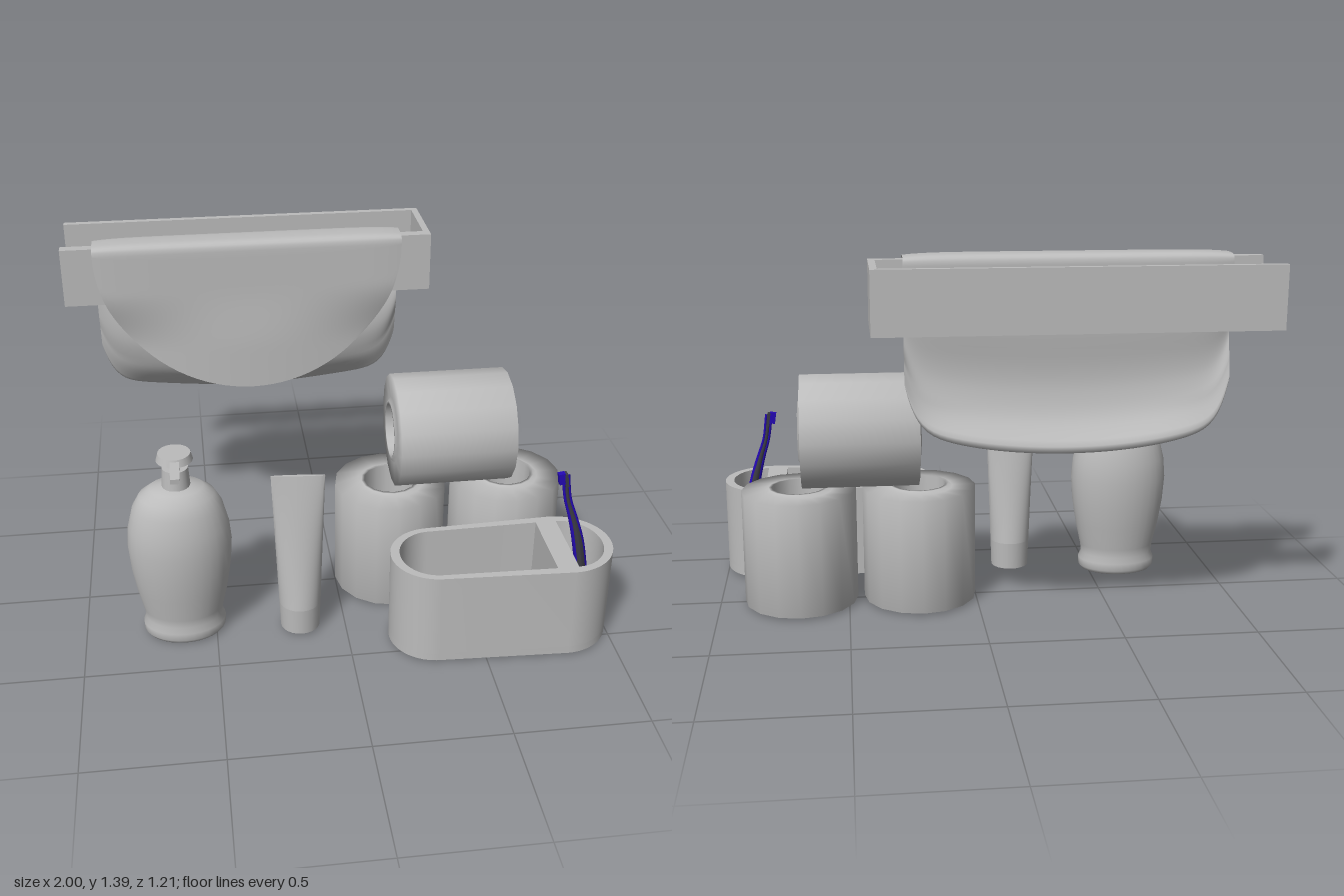
import * as THREE from 'three';
import { toCreasedNormals } from 'three/addons/utils/BufferGeometryUtils.js';

const grey = new THREE.MeshStandardMaterial({ color: 0xbcbcbc, side: THREE.DoubleSide });
grey.name = 'grey';
const blue = new THREE.MeshStandardMaterial({ color: 0x2408b4 });
blue.name = 'blue';
const charcoal = new THREE.MeshStandardMaterial({ color: 0x3c3c44 });
charcoal.name = 'charcoal';

function add(parent, name, geometry, x = 0, y = 0, z = 0, material = grey) {
  const mesh = new THREE.Mesh(geometry, material);
  mesh.name = name;
  mesh.position.set(x, y, z);
  parent.add(mesh);
  return mesh;
}

const lathe = (pts, n) => new THREE.LatheGeometry(pts.map(([r, y]) => new THREE.Vector2(r, y)), n);

// Move every vertex by a rule, then refresh the normals
function reshape(geometry, rule) {
  const p = geometry.attributes.position, uv = geometry.attributes.uv;
  for (let i = 0; i < p.count; i++) {
    p.setXYZ(i, ...rule(p.getX(i), p.getY(i), p.getZ(i), uv.getX(i), uv.getY(i)));
  }
  geometry.computeVertexNormals();
  return geometry;
}

// Wall rail, open at its right-hand end
function towelRail() {
  const g = new THREE.Group();
  g.name = 'towelRail';
  add(g, 'railFront', new THREE.BoxGeometry(1.41, 0.225, 0.04), -0.295, 1.26, -0.31);
  add(g, 'railBack', new THREE.BoxGeometry(1.41, 0.225, 0.025), -0.295, 1.26, -0.592);
  add(g, 'railEnd', new THREE.BoxGeometry(0.025, 0.225, 0.25), 0.3975, 1.26, -0.455);
  return g;
}

// Towel cross-section draped over the rail: w runs front hem > top > back hem, t is -1..1 across
const backDrape = new THREE.SplineCurve([[-0.375, 1.36], [-0.365, 1.14], [-0.35, 0.98],
  [-0.358, 0.88], [-0.39, 0.79], [-0.465, 0.7]].map(([z, y]) => new THREE.Vector2(z, y)));
function drape(t, w) {
  const top = 1.355;
  if (w < 0.4) {
    const hem = top - 0.56 * Math.sqrt(Math.max(0, 1 - t * t)) - 0.005;
    const y = THREE.MathUtils.lerp(hem, top, w / 0.4);
    const s = 1 - THREE.MathUtils.smoothstep(y, 0.95, 1.2);
    return [y, -0.255 + s * (0.01 - 0.075 * t * t)];
  }
  if (w <= 0.6) {
    const a = (w - 0.4) / 0.2 * Math.PI, c = Math.cos(a);
    return [top + 0.03 * Math.pow(Math.max(0, Math.sin(a)), 0.6),
      -0.315 + 0.06 * Math.sign(c) * Math.pow(Math.abs(c), 0.6)];
  }
  const p = backDrape.getPoint((w - 0.6) / 0.4);
  const hem = 0.7 + 0.08 * t * t + 0.16 * Math.pow(t, 16);
  const flare = Math.max(0, -0.37 - p.x) * 0.85 * Math.pow(t, 4);
  return [top - (1.36 - p.y) * (top - hem) / 0.66, p.x + (p.y < 1 ? flare : 0)];
}

function towelGeometry() {
  return reshape(new THREE.PlaneGeometry(1, 1, 48, 120), (x, y, z, u, v) => {
    const t = -Math.cos(u * Math.PI);
    const w = v < 0.5 ? v * 2 : 2 - v * 2;
    const half = (v < 0.5 ? 0.008 : -0.008) * (1 - Math.pow(t, 8));
    const [cy, cz] = drape(t, w);
    const a = drape(t, Math.max(0, w - 0.005)), b = drape(t, Math.min(1, w + 0.005));
    const dy = b[0] - a[0], dz = b[1] - a[1], len = Math.hypot(dy, dz) || 1;
    return [-0.295 + 0.585 * t, cy - half * dz / len, cz + half * dy / len];
  });
}

// Paper roll with a slightly protruding hollow core
function rollGeometry() {
  const h = 0.2225, c = 0.2325;
  return lathe([[0.103, -c], [0.115, -c], [0.13, -h], [0.22, -h],
    [0.22, h], [0.13, h], [0.115, c], [0.103, c], [0.103, -c]], 16);
}

function pumpBottle() {
  const g = new THREE.Group();
  g.name = 'pumpBottle';
  g.position.set(-0.62, 0, 0.24);
  const body = add(g, 'bottleBody', lathe([[0, 0.005], [0.145, 0.005], [0.157, 0.02], [0.158, 0.05],
    [0.147, 0.075], [0.152, 0.11], [0.172, 0.2], [0.188, 0.3], [0.195, 0.4], [0.188, 0.48],
    [0.168, 0.56], [0.14, 0.61], [0.1, 0.64], [0.05, 0.65]], 32));
  body.scale.z = 0.76;
  add(g, 'collar', new THREE.CylinderGeometry(0.048, 0.053, 0.075, 24), 0, 0.685);
  add(g, 'stem', new THREE.CylinderGeometry(0.018, 0.018, 0.05, 16), 0, 0.735);
  add(g, 'pumpHead', new THREE.CylinderGeometry(0.06, 0.068, 0.028, 24), 0, 0.768);
  const nozzle = add(g, 'nozzle', new THREE.BoxGeometry(0.034, 0.02, 0.13), 0, 0.762, 0.103);
  nozzle.rotation.x = 0.08;
  return g;
}

function squeezeTube() {
  const g = new THREE.Group();
  g.name = 'squeezeTube';
  g.position.set(-0.175, 0, 0.29);
  add(g, 'cap', new THREE.CylinderGeometry(0.08, 0.076, 0.11, 24), 0, 0.07);
  // Round at the cap, pinched to a flat crimp at the top
  const body = new THREE.CylinderGeometry(1, 1, 1, 32, 10);
  add(g, 'tubeBody', toCreasedNormals(reshape(body, (x, y, z) => {
    const k = y + 0.5;
    return [x * (0.08 + 0.02 * k), 0.125 + 0.555 * k, z * (0.082 - 0.076 * k) + x * 0.008 * k];
  }), 0.9));
  return g;
}

// Rounded two-compartment holder; shapes lie in x and -z
function holder() {
  const g = new THREE.Group();
  g.name = 'brushHolder';
  const zc = -0.415, H = Math.PI / 2;
  const outline = () => {
    const s = new THREE.Shape();
    s.absarc(0.325, zc, 0.17, H, 3 * H);
    s.absarc(0.81, zc, 0.19, -H, H);
    return s;
  };
  const large = new THREE.Path();
  large.absellipse(0.325, zc, 0.135, 0.145, H, 3 * H);
  large.lineTo(0.75, zc - 0.155);
  large.lineTo(0.75, zc + 0.155);
  const small = new THREE.Path();
  small.absellipse(0.83, zc, 0.135, 0.155, -H, H);
  const rim = outline();
  rim.holes.push(large, small);
  const extrude = (shape, depth) => toCreasedNormals(new THREE.ExtrudeGeometry(shape,
    { depth, bevelEnabled: false, curveSegments: 16 }).rotateX(-H), 0.6);
  add(g, 'holderWalls', extrude(rim, 0.34), 0, 0.04);
  add(g, 'holderBase', extrude(outline(), 0.03), 0, 0.01);
  return g;
}

function toothbrush() {
  const g = new THREE.Group();
  g.name = 'toothbrush';
  const curve = new THREE.CatmullRomCurve3([[0.925, 0.05, 0.4], [0.905, 0.22, 0.395], [0.877, 0.38, 0.392],
    [0.85, 0.48, 0.388], [0.825, 0.56, 0.384], [0.81, 0.665, 0.38]].map(p => new THREE.Vector3(...p)));
  // Tapering handle with slimmer coloured strips along both edges
  const handle = (radius) => {
    const tube = new THREE.TubeGeometry(curve, 30, 1, 10);
    return reshape(tube, (x, y, z, u) => {
      const c = curve.getPointAt(u), r = radius * (1 - 0.6 * THREE.MathUtils.smoothstep(u, 0.45, 0.85));
      return [c.x + (x - c.x) * r, c.y + (y - c.y) * r, c.z + (z - c.z) * r];
    });
  };
  add(g, 'handle', handle(0.02), 0, 0, 0, charcoal);
  for (const side of [-1, 1]) add(g, 'grip', handle(0.014), side * 0.01, 0, 0, blue);
  const head = add(g, 'head', new THREE.BoxGeometry(0.012, 0.055, 0.026), 0.813, 0.642, 0.381, charcoal);
  const bristles = add(g, 'bristles', new THREE.BoxGeometry(0.025, 0.045, 0.022), 0.796, 0.648, 0.381, blue);
  head.rotation.z = bristles.rotation.z = 0.15;
  return g;
}

export function createModel() {
  const model = new THREE.Group();
  model.name = 'bathroomSet';
  model.add(towelRail(), pumpBottle(), squeezeTube(), holder(), toothbrush());
  add(model, 'towel', towelGeometry());
  for (const x of [0.22, 0.685]) add(model, 'standingRoll', rollGeometry(), x, 0.2325, 0);
  add(model, 'topRoll', rollGeometry(), 0.447, 0.685, 0).rotation.z = Math.PI / 2;
  return model;
}
